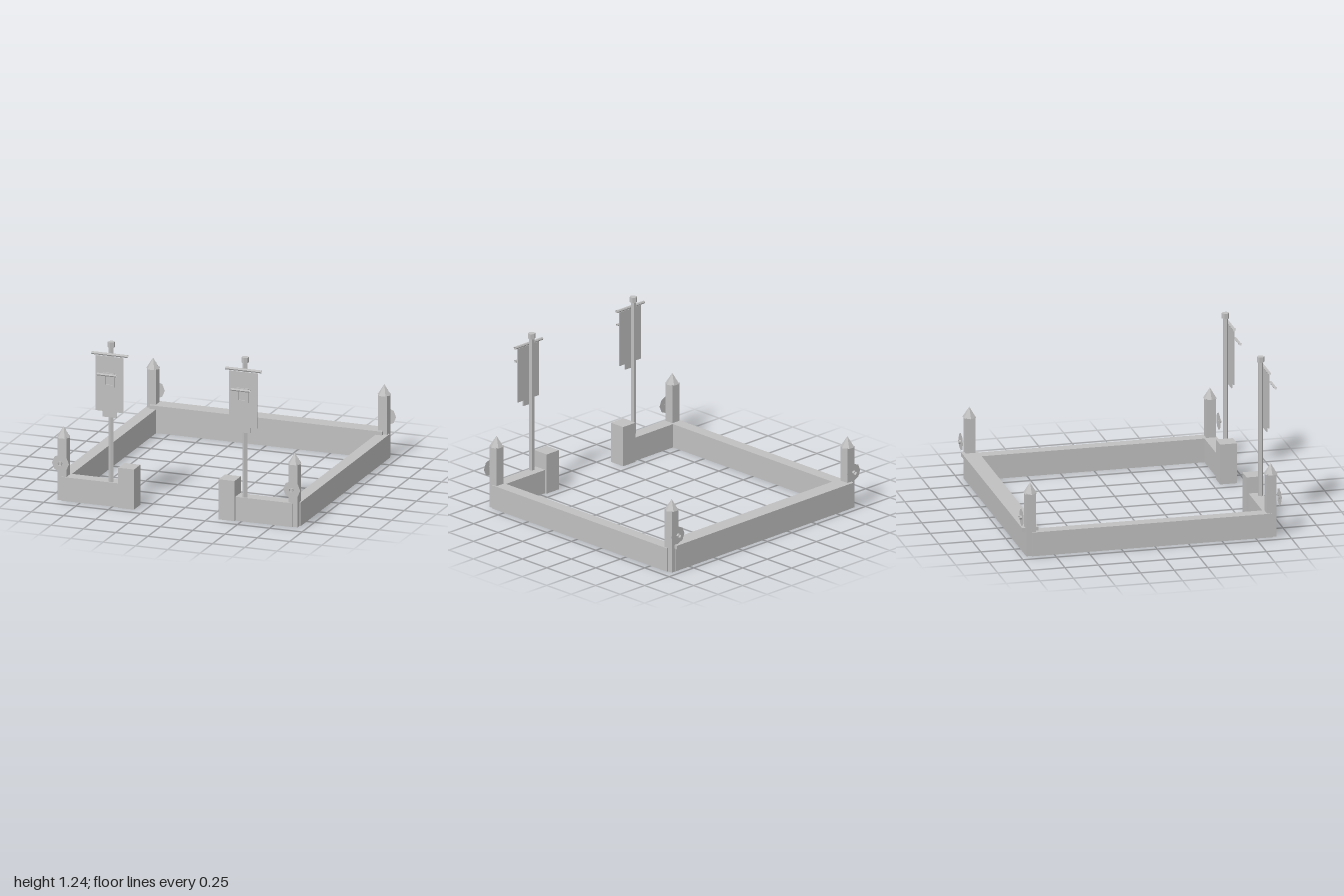
import * as THREE from 'three';

export function createModel() {
  const model = new THREE.Group();
  model.name = 'walledYard';
  const stone = new THREE.MeshStandardMaterial({ color: 0xc0c0c0 });
  stone.name = 'stoneGrey';
  stone.flatShading = true;
  stone.side = THREE.DoubleSide;

  const add = (parent, name, geometry, x = 0, y = 0, z = 0) => {
    const mesh = new THREE.Mesh(geometry, stone);
    mesh.name = name;
    mesh.position.set(x, y, z);
    parent.add(mesh);
    return mesh;
  };
  // Box given by its limits on each axis
  const block = (parent, name, x0, x1, y0, y1, z0, z1) =>
    add(parent, name, new THREE.BoxGeometry(x1 - x0, y1 - y0, z1 - z0),
      (x0 + x1) / 2, (y0 + y1) / 2, (z0 + z1) / 2);
  // Open horizontal rod along x
  const rod = (parent, name, length, radius, y, z) =>
    add(parent, name, new THREE.CylinderGeometry(radius, radius, length, 6, 1, true)
      .rotateZ(Math.PI / 2), 0, y, z);

  // Back wall and its coping
  block(model, 'backWall', -0.895, 0.895, 0, 0.18, -0.957, -0.865);
  block(model, 'backCoping', -0.9, 0.9, 0.178, 0.207, -0.981, -0.859);

  // Banner outline with a stepped lower edge
  const cloth = new THREE.Shape([
    [-0.108, 1.135], [-0.108, 0.72], [-0.052, 0.72], [-0.052, 0.677],
    [0.052, 0.677], [0.052, 0.72], [0.108, 0.72], [0.108, 1.135],
  ].map(([x, y]) => new THREE.Vector2(x, y)));

  // Square emblem frame
  const frame = new THREE.Shape([
    [-0.045, 0.908], [0.045, 0.908], [0.045, 1.015], [-0.045, 1.015],
  ].map(([x, y]) => new THREE.Vector2(x, y)));
  frame.holes.push(new THREE.Path([
    [-0.029, 0.925], [-0.029, 1.0], [0.029, 1.0], [0.029, 0.925],
  ].map(([x, y]) => new THREE.Vector2(x, y))));

  for (const s of [-1, 1]) {
    const side = s < 0 ? 'right' : 'left';
    const span = (a, b) => [Math.min(s * a, s * b), Math.max(s * a, s * b)];

    // Walls and gate pillar
    block(model, side + 'Wall', ...span(0.85, 0.94), 0, 0.18, -0.915, 0.872);
    block(model, side + 'FrontWall', ...span(0.4, 0.895), 0, 0.18, 0.82, 0.916);
    block(model, side + 'GatePillar', ...span(0.327, 0.451), 0, 0.303, 0.805, 0.931);

    // Corner posts with pointed caps and round shields
    for (const [end, z, f] of [['Front', 0.872, 1], ['Back', -0.92, -1]]) {
      const post = new THREE.Group();
      post.name = side + end + 'Post';
      post.position.set(s * 0.895, 0, z);
      model.add(post);
      block(post, 'shaft', -0.035, 0.035, 0, 0.475, -0.036, 0.036);
      add(post, 'pointedCap', new THREE.ConeGeometry(0.052, 0.08, 6).rotateY(Math.PI / 6), 0, 0.51, 0);
      add(post, 'shield', new THREE.CircleGeometry(0.066, 8), 0, 0.288, f * 0.064);
      add(post, 'shieldBoss', new THREE.CylinderGeometry(0.015, 0.015, 0.019, 8, 1, true)
        .rotateX(Math.PI / 2), 0, 0.288, f * 0.072);
    }

    // Banner on its pole
    const banner = new THREE.Group();
    banner.name = side + 'Banner';
    banner.position.x = s * 0.518;
    model.add(banner);
    add(banner, 'pole', new THREE.CylinderGeometry(0.0195, 0.0195, 1.05, 5), 0, 0.695, 0.892);
    add(banner, 'poleCap', new THREE.CylinderGeometry(0.028, 0.028, 0.04, 6), 0, 1.217, 0.892);
    rod(banner, 'crossbar', 0.28, 0.011, 1.149, 0.924);
    add(banner, 'cloth', new THREE.ExtrudeGeometry(cloth, { depth: 0.009, bevelEnabled: false }), 0, 0, 0.923);
    add(banner, 'emblemFrame', new THREE.ExtrudeGeometry(frame, { depth: 0.009, bevelEnabled: false }), 0, 0, 0.937);
    rod(banner, 'emblemBar', 0.148, 0.01, 1.012, 0.985);
  }

  return model;
}
